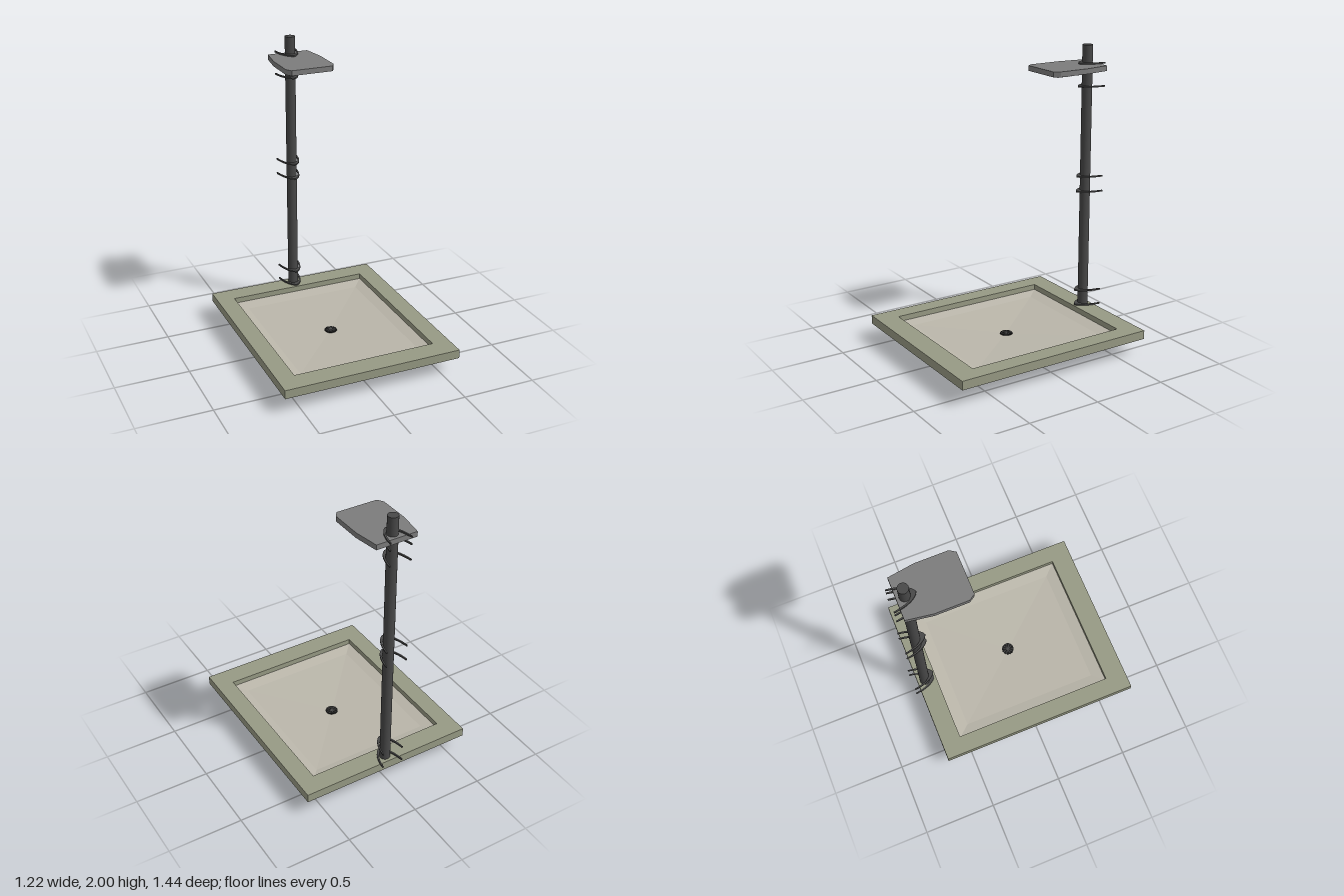
import * as THREE from 'three';
import { mergeGeometries } from 'three/addons/utils/BufferGeometryUtils.js';

const mat = (color, flatShading = false) => new THREE.MeshStandardMaterial({ color, flatShading });
const stone = mat(0x979a84, true);
const enamel = mat(0xbab6aa, true);
const black = mat(0x1c1c1c);
const darkMetal = mat(0x484848);
const headGrey = mat(0x7c7c7c, true);

function add(parent, name, geometry, material, x = 0, y = 0, z = 0) {
  const mesh = new THREE.Mesh(geometry, material);
  mesh.name = name;
  mesh.position.set(x, y, z);
  parent.add(mesh);
  return mesh;
}

// Horizontal plate from an (x, z) shape: top face at y = 0, thickness downwards
function plate(shape, thickness) {
  const g = new THREE.ExtrudeGeometry(shape, { depth: thickness, bevelEnabled: false, curveSegments: 16 });
  return g.rotateX(Math.PI / 2);
}

const polygon = (pts) => new THREE.Shape(pts.map(([x, z]) => new THREE.Vector2(x, z)));
const rect = (x, z0, z1) => [[-x, z0], [x, z0], [x, z1], [-x, z1]];

// Flat-faced surface through nested rectangles [halfWidth, zBack, zFront, y]
function nestedRects(rings, facingUp) {
  const pos = [];
  const corners = rings.map(([x, z0, z1, y]) => rect(x, z0, z1).map(([px, pz]) => [px, y, pz]));
  const tri = (a, b, c) => pos.push(...a, ...(facingUp ? b : c), ...(facingUp ? c : b));
  for (let r = 0; r + 1 < corners.length; r++) {
    const a = corners[r], b = corners[r + 1];
    for (let i = 0; i < 4; i++) {
      const j = (i + 1) % 4;
      tri(a[i], b[i], a[j]);
      tri(a[j], b[i], b[j]);
    }
  }
  const g = new THREE.BufferGeometry();
  g.setAttribute('position', new THREE.Float32BufferAttribute(pos, 3));
  g.computeVertexNormals();
  return g;
}

function buildTray() {
  const tray = new THREE.Group();
  tray.name = 'tray';

  // Square-edged rim with the basin opening
  const rim = polygon(rect(0.61, -0.68, 0.725));
  rim.holes.push(new THREE.Path(rect(0.49, -0.545, 0.58).map(([x, z]) => new THREE.Vector2(x, z))));
  add(tray, 'rim', plate(rim, 0.06), stone, 0, 0.17);

  // Floor: short bevel, then a gentle fall to the drain
  add(tray, 'basinFloor', nestedRects([
    [0.49, -0.545, 0.58, 0.132], [0.415, -0.46, 0.5, 0.116], [0.02, 0.0, 0.045, 0.095],
  ], true), enamel);

  // Shallow tapered underside
  add(tray, 'underside', nestedRects([
    [0.61, -0.68, 0.725, 0.11], [0.3, -0.335, 0.4, 0.072], [0, 0.03, 0.03, 0.072],
  ], false), enamel);

  // Drain with radial ribs, and waste pipe
  add(tray, 'drain', new THREE.CylinderGeometry(0.042, 0.042, 0.012, 32), black, 0.005, 0.095, 0.022);
  for (let i = 0; i < 5; i++) {
    const rib = add(tray, 'drainRib', new THREE.BoxGeometry(0.076, 0.003, 0.005), darkMetal, 0.005, 0.1015, 0.022);
    rib.rotation.y = (i * Math.PI) / 5;
  }
  add(tray, 'wastePipe', new THREE.CylinderGeometry(0.04, 0.04, 0.09, 32), mat(0xbab6aa), 0, 0.045, 0.027);
  return tray;
}

// Two-pronged clip: a crescent around the front of the pole, tips pointing back
function clipGeometry() {
  const s = new THREE.Shape();
  s.moveTo(-0.077, -0.092);
  s.bezierCurveTo(-0.07, -0.01, -0.04, 0.056, 0, 0.072);
  s.bezierCurveTo(0.04, 0.056, 0.07, -0.01, 0.077, -0.092);
  s.lineTo(0.069, -0.092);
  s.bezierCurveTo(0.056, -0.01, 0.038, 0.03, 0, 0.036);
  s.bezierCurveTo(-0.038, 0.03, -0.056, -0.01, -0.069, -0.092);
  s.closePath();
  return plate(s, 0.01);
}

function buildColumn() {
  const column = new THREE.Group();
  column.name = 'column';
  column.position.set(-0.008, 0, -0.627);
  add(column, 'pole', new THREE.CylinderGeometry(0.035, 0.035, 1.84, 32), darkMetal, 0, 1.08);
  const clip = clipGeometry();
  for (const y of [0.18, 0.287, 1.005, 1.111, 1.73, 1.836, 1.885]) add(column, 'clip', clip, darkMetal, 0, y);
  return column;
}

function buildHead() {
  const head = new THREE.Group();
  head.name = 'showerHead';
  head.position.x = -0.005;
  const side = [[0.142, -0.68], [0.168, -0.508], [0.168, -0.29], [0.142, -0.25]];
  const mirrored = side.map(([x, z]) => [-x, z]).reverse();
  add(head, 'headPlate', plate(polygon([...side, ...mirrored]), 0.035), headGrey, 0, 1.875);

  // Grid of small nozzles on the underside
  const nozzles = [];
  for (let i = 0; i < 17; i++) {
    for (let j = 0; j < 13; j++) {
      nozzles.push(new THREE.CylinderGeometry(0.005, 0.004, 0.008, 6)
        .translate((i - 8) * 0.018, 1.838, -0.5 + j * 0.018));
    }
  }
  add(head, 'nozzles', mergeGeometries(nozzles), darkMetal);
  return head;
}

export function createModel() {
  const model = new THREE.Group();
  model.name = 'shower';
  model.add(buildTray(), buildColumn(), buildHead());
  return model;
}
